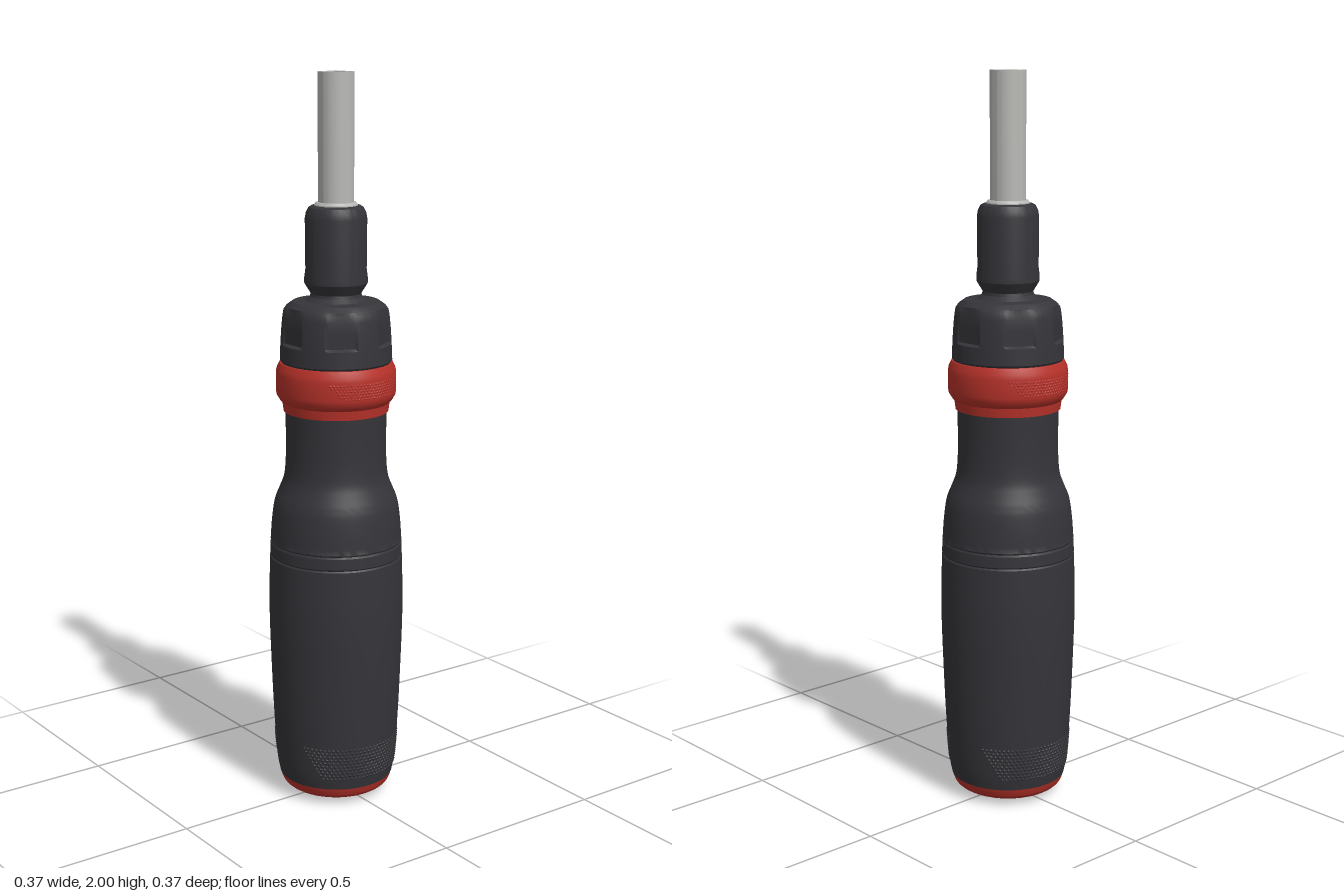
import * as THREE from 'three';
import { mergeGeometries, toCreasedNormals } from 'three/addons/utils/BufferGeometryUtils.js';

const mat = (name, color) => {
  const m = new THREE.MeshStandardMaterial({ color });
  m.name = name;
  return m;
};

// Smooth curve through [radius, y] pairs
const smooth = (pts, n) =>
  new THREE.CatmullRomCurve3(pts.map(([r, y]) => new THREE.Vector3(r, y, 0)), false, 'centripetal')
    .getPoints(n).map((p) => [Math.max(p.x, 0), p.y]);

const turned = (pts, segments = 72) =>
  new THREE.LatheGeometry(pts.map(([r, y]) => new THREE.Vector2(r, y)), segments);

// Diamond studs in staggered rows on the front and back; sides of each patch slope
function knurl(rows, cols, y0, y1, radiusAt, angleBottom, angleTop, size, height) {
  const studs = [];
  for (const side of [0, Math.PI]) {
    for (let i = 0; i < rows; i++) {
      const t = i / (rows - 1);
      const y = y0 + (y1 - y0) * t;
      const half = angleBottom + (angleTop - angleBottom) * t;
      const step = (2 * Math.max(angleBottom, angleTop)) / cols;
      for (let j = -cols; j <= cols; j++) {
        const a = (j + (i % 2) / 2) * step;
        if (Math.abs(a) > half) continue;
        const g = new THREE.ConeGeometry(size, height, 4, 1, true);
        g.rotateX(Math.PI / 2);
        g.translate(0, y, radiusAt(y) + height / 2 - 0.0005);
        g.rotateY(side + a);
        studs.push(g);
      }
    }
  }
  return toCreasedNormals(mergeGeometries(studs), 0.3);
}

export function createModel() {
  const model = new THREE.Group();
  model.name = 'ratchetScrewdriver';
  const dark = mat('darkGrip', 0x35353a);
  const red = mat('redAccent', 0xb8322a);
  const steel = mat('steel', 0xb9bab6);
  const add = (name, geometry, material) => {
    const mesh = new THREE.Mesh(geometry, material);
    mesh.name = name;
    model.add(mesh);
  };
  const lathe = (name, pts, material) => add(name, toCreasedNormals(turned(pts), 0.5), material);

  // Domed end cap
  lathe('endCap', smooth([[0, 0], [0.07, 0.003], [0.12, 0.011], [0.148, 0.027], [0.159, 0.052]], 16), red);

  // Grip with two fine grooves near its shoulder
  const belly = smooth([[0.159, 0.052], [0.166, 0.09], [0.174, 0.2], [0.181, 0.36], [0.186, 0.55], [0.183, 0.69]], 24);
  const shoulder = smooth([[0.181, 0.737], [0.176, 0.8], [0.168, 0.85], [0.154, 0.885], [0.143, 0.915],
    [0.138, 0.96], [0.137, 1.03], [0.138, 1.105]], 28);
  lathe('grip', [...belly, [0.180, 0.694], [0.1825, 0.698], [0.1815, 0.728], [0.1785, 0.733], ...shoulder], dark);
  const gripRadius = (y) => {
    const k = belly.findIndex((p) => p[1] >= y);
    const [a, b] = [belly[k - 1], belly[k]];
    return a[0] + ((b[0] - a[0]) * (y - a[1])) / (b[1] - a[1]);
  };
  add('gripKnurl', knurl(10, 34, 0.085, 0.172, gripRadius, 0.85, 1.2, 0.0055, 0.003), dark);

  // Ratchet selector ring
  lathe('selectorRing', [[0.13, 1.1], [0.143, 1.1], [0.146, 1.125], [0.153, 1.132], [0.161, 1.145],
    [0.163, 1.155], [0.163, 1.205], [0.161, 1.217], [0.153, 1.234], [0.13, 1.236]], red);
  add('selectorKnurl', knurl(6, 26, 1.16, 1.197, () => 0.163, 0.5, 0.75, 0.0045, 0.002), red);

  // Ratchet head with six flat finger notches
  const head = turned([[0.13, 1.23], [0.148, 1.234], [0.152, 1.24], [0.151, 1.262], [0.150, 1.285], [0.1497, 1.291],
    [0.147, 1.33], [0.144, 1.36], [0.141, 1.376], [0.134, 1.386], [0.117, 1.398], [0.07, 1.402]], 144);
  const pos = head.attributes.position;
  for (let i = 0; i < pos.count; i++) {
    const y = pos.getY(i);
    if (y < 1.288 || y > 1.38) continue;
    const a = Math.atan2(pos.getZ(i), pos.getX(i));
    const n = Math.round(a / (Math.PI / 3)) * (Math.PI / 3);
    const r = Math.hypot(pos.getX(i), pos.getZ(i));
    const limit = (y > 1.37 ? 0.135 : 0.139) / Math.cos(a - n);
    if (r > limit && Math.abs(a - n) < 0.27) {
      pos.setX(i, limit * Math.cos(a));
      pos.setZ(i, limit * Math.sin(a));
    }
  }
  add('ratchetHead', toCreasedNormals(head, 0.45), dark);

  // Chuck sleeve on a narrow neck
  lathe('chuckSleeve', [[0.086, 1.398], [0.07, 1.412], [0.068, 1.42], [0.078, 1.436], [0.085, 1.448], [0.085, 1.462],
    [0.082, 1.485], [0.083, 1.62], [0.08, 1.636], [0.073, 1.649], [0.066, 1.653], [0.04, 1.654]], dark);
  lathe('steelCollar', [[0.058, 1.645], [0.058, 1.656], [0.054, 1.662], [0.04, 1.663]], steel);

  // Round shank with a hexagonal bit socket
  const outline = new THREE.Shape().absarc(0, 0, 0.048, 0, Math.PI * 2, false);
  const hex = Array.from({ length: 6 }, (_, i) =>
    new THREE.Vector2(Math.cos((i * Math.PI) / 3), Math.sin((i * Math.PI) / 3)).multiplyScalar(0.045));
  outline.holes.push(new THREE.Path(hex.slice().reverse()));
  const shank = new THREE.ExtrudeGeometry(outline, { depth: 0.4, bevelEnabled: false, curveSegments: 24 });
  shank.rotateX(-Math.PI / 2).translate(0, 1.6, 0);
  add('shank', toCreasedNormals(shank, 0.5), steel);
  const floor = new THREE.ShapeGeometry(new THREE.Shape(hex));
  floor.rotateX(-Math.PI / 2).translate(0, 1.9, 0);
  add('socketFloor', floor, steel);

  return model;
}
